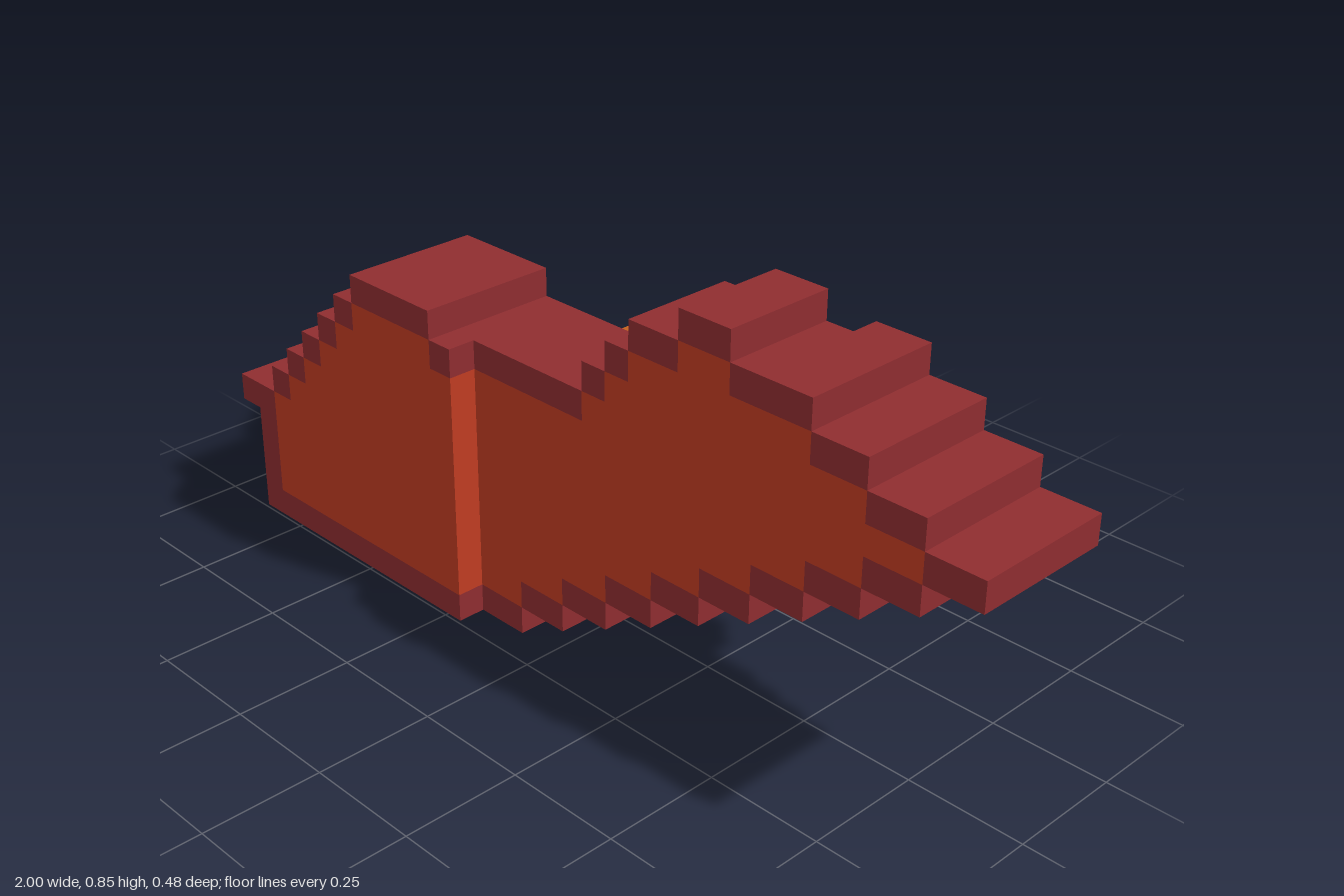
import * as THREE from 'three';

const U = 2 / 33; // edge of one cube

const mat = (name, color) => {
  const m = new THREE.MeshStandardMaterial({ color });
  m.name = name;
  return m;
};

// Sheath outline: [first, end) cube columns for each row, bottom to top
const OUTLINE = [
  [[2, 15]], [[2, 17]], [[2, 19]], [[2, 21]], [[1, 23]], [[3, 25]], [[4, 27]],
  [[5, 29]], [[6, 31]], [[7, 33]], [[8, 12], [18, 31]], [[19, 29]], [[20, 27]], [[22, 24]],
];
const inOutline = (i, j) => (OUTLINE[j] || []).some(([a, b]) => i >= a && i < b);
const isInner = (i, j) =>
  inOutline(i - 1, j) && inOutline(i + 1, j) && inOutline(i, j - 1) && inOutline(i, j + 1);

// Exposed cube faces: normal direction, and the two edge directions (u x v = n)
const FACES = [
  [[1, 0, 0], [0, 1, 0], [0, 0, 1]], [[-1, 0, 0], [0, 0, 1], [0, 1, 0]],
  [[0, 1, 0], [0, 0, 1], [1, 0, 0]], [[0, -1, 0], [1, 0, 0], [0, 0, 1]],
  [[0, 0, 1], [1, 0, 0], [0, 1, 0]], [[0, 0, -1], [0, 1, 0], [1, 0, 0]],
];

function cubeGeometry(cells, part) {
  const pos = [], nor = [], idx = [];
  for (const [key, owner] of cells) {
    if (owner !== part) continue;
    const c = key.split(',').map(Number);
    for (const [n, u, v] of FACES) {
      if (cells.has(c.map((q, a) => q + n[a]).join())) continue;
      const base = pos.length / 3;
      for (const [s, t] of [[0, 0], [1, 0], [1, 1], [0, 1]]) {
        const p = c.map((q, a) => (q + Math.max(n[a], 0) + s * u[a] + t * v[a]) * U);
        pos.push(p[0] - 1, p[1], p[2]);
        nor.push(...n);
      }
      idx.push(base, base + 1, base + 2, base, base + 2, base + 3);
    }
  }
  const g = new THREE.BufferGeometry();
  g.setAttribute('position', new THREE.Float32BufferAttribute(pos, 3));
  g.setAttribute('normal', new THREE.Float32BufferAttribute(nor, 3));
  g.setIndex(idx);
  return g;
}

export function createModel() {
  const cells = new Map();
  // Fill columns a..b, rows c..d, layers e..f (ends excluded)
  const fill = (part, a, b, c, d, e, f) => {
    for (let i = a; i < b; i++)
      for (let j = c; j < d; j++)
        for (let k = e; k < f; k++) cells.set([i, j, k].join(), part);
  };

  // Sheath: thicker to the front on the right, to the back at the tip
  for (let i = 0; i < 33; i++)
    for (let j = 0; j < 14; j++)
      if (inOutline(i, j))
        fill(isInner(i, j) ? 'sheathPanel' : 'sheathRim', i, i + 1, j, j + 1, i < 25 ? -1 : -2, i < 13 ? 4 : 3);

  // Slanted bar along the back, row by row
  [[3, 11, 13], [4, 6, 18], [5, 8, 23], [6, 8, 25], [7, 11, 25], [8, 14, 25]].forEach(
    ([j, a, b]) => fill('bar', a, b, j, j + 1, -3, -1));
  fill('bar', 25, 26, 8, 9, -4, -2);

  // Inlay on the bar's back face
  [[4, 11, 13], [5, 9, 18], [6, 11, 20], [7, 14, 21]].forEach(
    ([j, a, b]) => fill('barInlay', a, b, j, j + 1, -3, -2));

  // Handle with its pommel
  fill('handle', 2, 6, 4, 5, -3, -1);
  fill('handle', 1, 9, 5, 6, -3, -1);
  fill('handle', 7, 11, 6, 7, -2, -1);
  fill('handle', 1, 4, 5, 6, -1, 0);
  fill('handle', 1, 2, 3, 6, -3, 0);
  fill('handle', 2, 3, 3, 4, -3, -1);
  fill('handle', 0, 1, 4, 5, -3, 0);
  fill('handle', 0, 1, 3, 6, -2, -1);

  const materials = {
    sheathRim: mat('dark red', 0x8f2d30),
    sheathPanel: mat('bright red', 0xc03c22),
    bar: mat('orange', 0xc4621f),
    barInlay: mat('gold', 0xb08628),
    handle: mat('tan', 0xc4b274),
  };
  const group = new THREE.Group();
  group.name = 'sheathedBlade';
  for (const [part, material] of Object.entries(materials)) {
    const mesh = new THREE.Mesh(cubeGeometry(cells, part), material);
    mesh.name = part;
    group.add(mesh);
  }
  return group;
}
